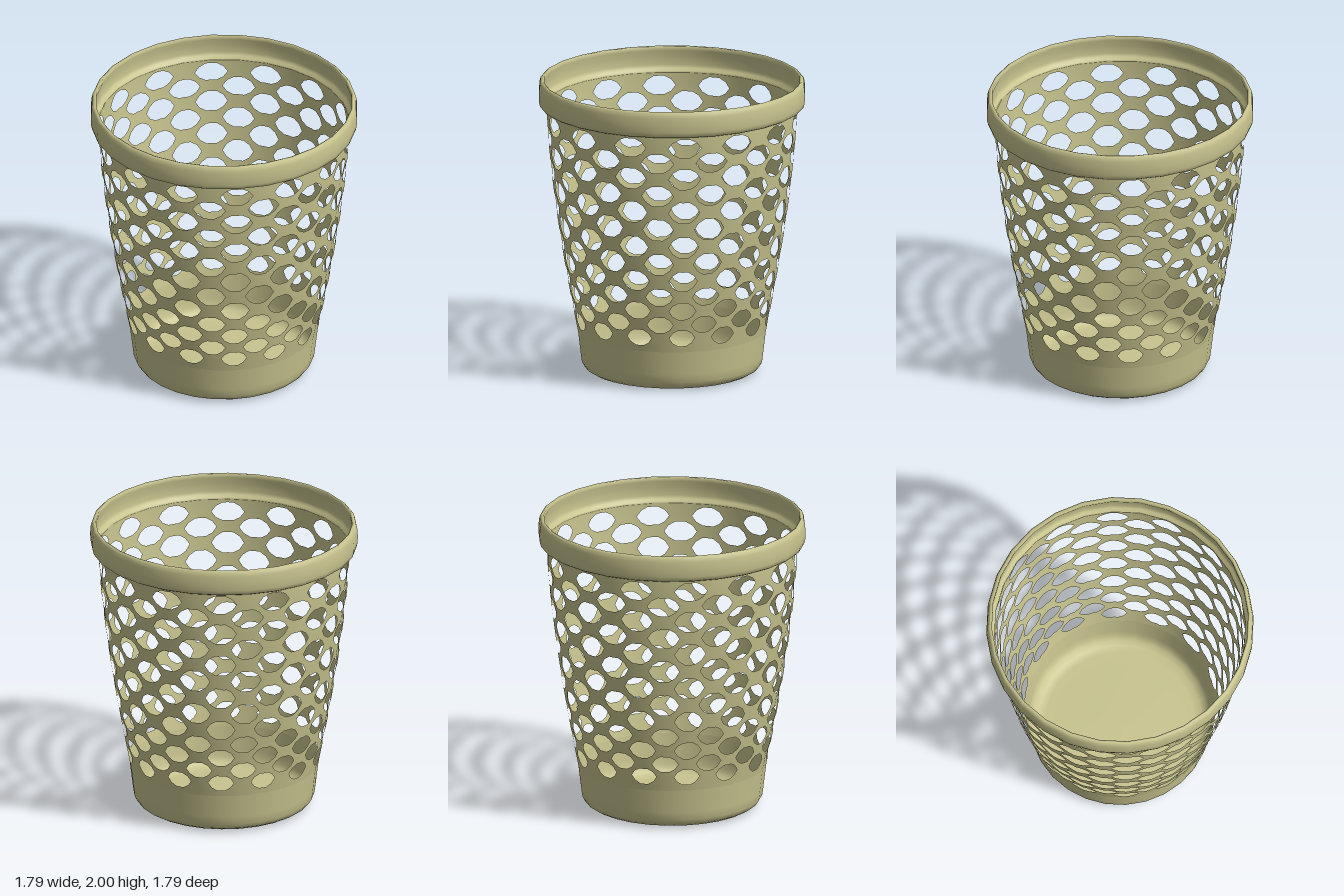
import * as THREE from 'three';
import { mergeGeometries } from 'three/addons/utils/BufferGeometryUtils.js';

const HOLES = 14;                 // holes per row
const STRIPS = HOLES * 2;         // half-pitch strips around the wall
const STEP = (Math.PI * 2) / STRIPS;
const WALL_BOTTOM = 0.28, WALL_TOP = 1.835;

// Heights of the hole rows; every other row is shifted by half a pitch
const ROWS = [0.38, 0.475, 0.575, 0.675, 0.79, 0.912, 1.035, 1.16, 1.283, 1.4, 1.52, 1.63, 1.737];
// Half outline of a hole: [reach from its centre line, height]
const HALF_HOLE = [[0, -1], [0.33, -1], [0.74, -0.62], [1, 0], [0.74, 0.62], [0.33, 1], [0, 1]];

// Gently bulging radius of the tapered wall
function wallRadius(y) {
  const t = Math.min(1, (y - 0.33) / 1.505);
  return 0.64 + 0.2 * (1 - Math.pow(1 - t, 1.5));
}

// One edge of a strip, going up, notched by half holes on every other row
function notchedEdge(parity, edge, direction) {
  const points = [[edge, WALL_BOTTOM]];
  ROWS.forEach((y, i) => {
    if (i % 2 !== parity) return;
    const pitch = i === 0 ? ROWS[1] - y : y - ROWS[i - 1];
    for (const [u, v] of HALF_HOLE) {
      points.push([edge + direction * u * 0.59, y + v * pitch * 0.585]);
    }
  });
  points.push([edge, WALL_TOP]);
  return points;
}

// Flat strip wrapped onto the wall, with smooth normals
function wallStrip(k) {
  const leftParity = k % 2 === 0 ? 1 : 0;
  const outline = [
    ...notchedEdge(1 - leftParity, 1, -1),
    ...notchedEdge(leftParity, 0, 1).reverse(),
  ];
  const geometry = new THREE.ShapeGeometry(new THREE.Shape(outline.map(([u, y]) => new THREE.Vector2(u, y))));
  const position = geometry.attributes.position, normal = geometry.attributes.normal;
  const n = new THREE.Vector3();
  // points inside a strip stay on its flat facet
  const a0 = k * STEP, a1 = (k + 1) * STEP;
  for (let i = 0; i < position.count; i++) {
    const u = position.getX(i), y = position.getY(i), r = wallRadius(y);
    const slope = (wallRadius(y + 0.01) - wallRadius(y - 0.01)) / 0.02;
    const angle = a0 + u * STEP;
    position.setXYZ(i,
      r * THREE.MathUtils.lerp(Math.sin(a0), Math.sin(a1), u), y,
      r * THREE.MathUtils.lerp(Math.cos(a0), Math.cos(a1), u));
    n.set(Math.sin(angle), -slope, Math.cos(angle)).normalize();
    normal.setXYZ(i, n.x, n.y, n.z);
  }
  return geometry;
}

function lathe(profile) {
  return new THREE.LatheGeometry(profile.map(([r, y]) => new THREE.Vector2(r, y)), STRIPS);
}

export function createModel() {
  const group = new THREE.Group();
  const material = new THREE.MeshStandardMaterial({ color: 0xc8c48f, side: THREE.DoubleSide });
  const add = (name, geometry) => {
    const mesh = new THREE.Mesh(geometry, material);
    mesh.name = name;
    group.add(mesh);
  };

  // Solid base: floor, rounded corner and lower wall
  add('base', lathe([
    [0, 0.012], [0.4, 0.01], [0.5, 0], [0.55, 0.01], [0.583, 0.03],
    [0.604, 0.065], [0.611, 0.12], [wallRadius(WALL_BOTTOM), WALL_BOTTOM],
  ]));

  // Perforated wall
  add('perforatedWall', mergeGeometries(Array.from({ length: STRIPS }, (_, k) => wallStrip(k))));

  // Rolled rim: underside, outer band, top and inner ledge
  add('rim', lathe([
    [0.838, 1.822], [0.868, 1.822], [0.884, 1.832], [0.891, 1.86], [0.893, 1.91], [0.889, 1.96],
    [0.882, 1.988], [0.868, 2], [0.856, 1.995], [0.856, 1.97], [0.866, 1.93], [0.867, 1.87],
    [0.858, 1.847], [0.838, 1.835], [0.838, 1.822],
  ]));

  return group;
}
